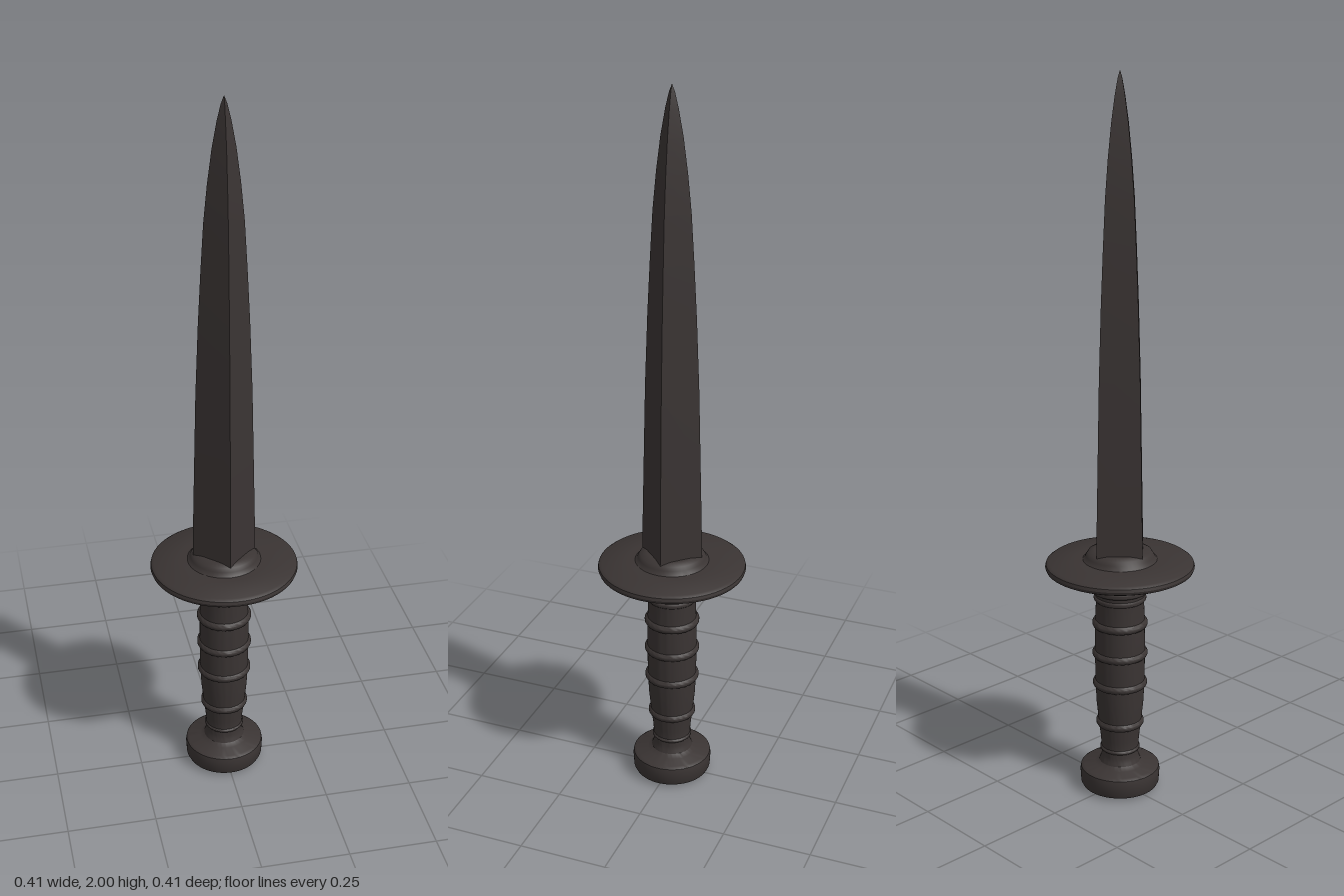
import * as THREE from 'three';
import { toCreasedNormals } from 'three/addons/utils/BufferGeometryUtils.js';

const darkIron = new THREE.MeshStandardMaterial({ color: 0x3a3433 });
darkIron.name = 'dark iron';

// Turned part from [radius, height] pairs listed bottom to top
function turned(name, profile, sides = 64, crease = 0.6) {
  const points = profile.map(([r, y]) => new THREE.Vector2(r, y));
  const geometry = toCreasedNormals(new THREE.LatheGeometry(points, sides), crease);
  const mesh = new THREE.Mesh(geometry, darkIron);
  mesh.name = name;
  return mesh;
}

export function createModel() {
  const group = new THREE.Group();
  group.name = 'dagger';

  // Heavy disc pommel with rounded rims
  group.add(turned('pommel', [
    [0, 0], [0.095, 0.003], [0.107, 0.008], [0.111, 0.016], [0.113, 0.05],
    [0.111, 0.062], [0.103, 0.068], [0.07, 0.071], [0.058, 0.08], [0, 0.08],
  ]));

  // Grip tapering to the pommel
  group.add(turned('grip', [
    [0.062, 0.07], [0.055, 0.088], [0.051, 0.1], [0.054, 0.15], [0.06, 0.2],
    [0.066, 0.26], [0.069, 0.32], [0.07, 0.42], [0.069, 0.5], [0.067, 0.56],
    [0.069, 0.6], [0.072, 0.63], [0.073, 0.66],
  ]));

  // Raised bands around the grip: [height, outer radius, half height]
  const bands = [
    [0.12, 0.056, 0.007], [0.2, 0.067, 0.011], [0.32, 0.076, 0.011],
    [0.41, 0.077, 0.011], [0.5, 0.077, 0.011], [0.575, 0.073, 0.008],
    [0.604, 0.082, 0.01],
  ];
  bands.forEach(([y, r, h], i) => {
    group.add(turned('gripBand' + (i + 1), [
      [r - 0.014, y - h * 1.3], [r - 0.003, y - h * 0.8], [r, y - h * 0.3],
      [r, y + h * 0.3], [r - 0.003, y + h * 0.8], [r - 0.014, y + h * 1.3],
    ], 48, 1));
  });

  // Round guard plate
  group.add(turned('guard', [
    [0, 0.655], [0.195, 0.657], [0.203, 0.661], [0.206, 0.669],
    [0.204, 0.677], [0.196, 0.683], [0.12, 0.688], [0, 0.69],
  ]));

  // Collar at the foot of the blade
  group.add(turned('collar', [
    [0.112, 0.684], [0.099, 0.69], [0.094, 0.7], [0.088, 0.71], [0.07, 0.716], [0, 0.718],
  ], 48, 1));

  // Four-edged blade, diamond in section, curving in to the point
  group.add(turned('blade', [
    [0.089, 0.68], [0.087, 0.8], [0.082, 1.0], [0.077, 1.2], [0.069, 1.4],
    [0.061, 1.55], [0.053, 1.68], [0.043, 1.78], [0.031, 1.87],
    [0.018, 1.94], [0.008, 1.98], [0, 2],
  ], 4, 0.3));

  return group;
}
